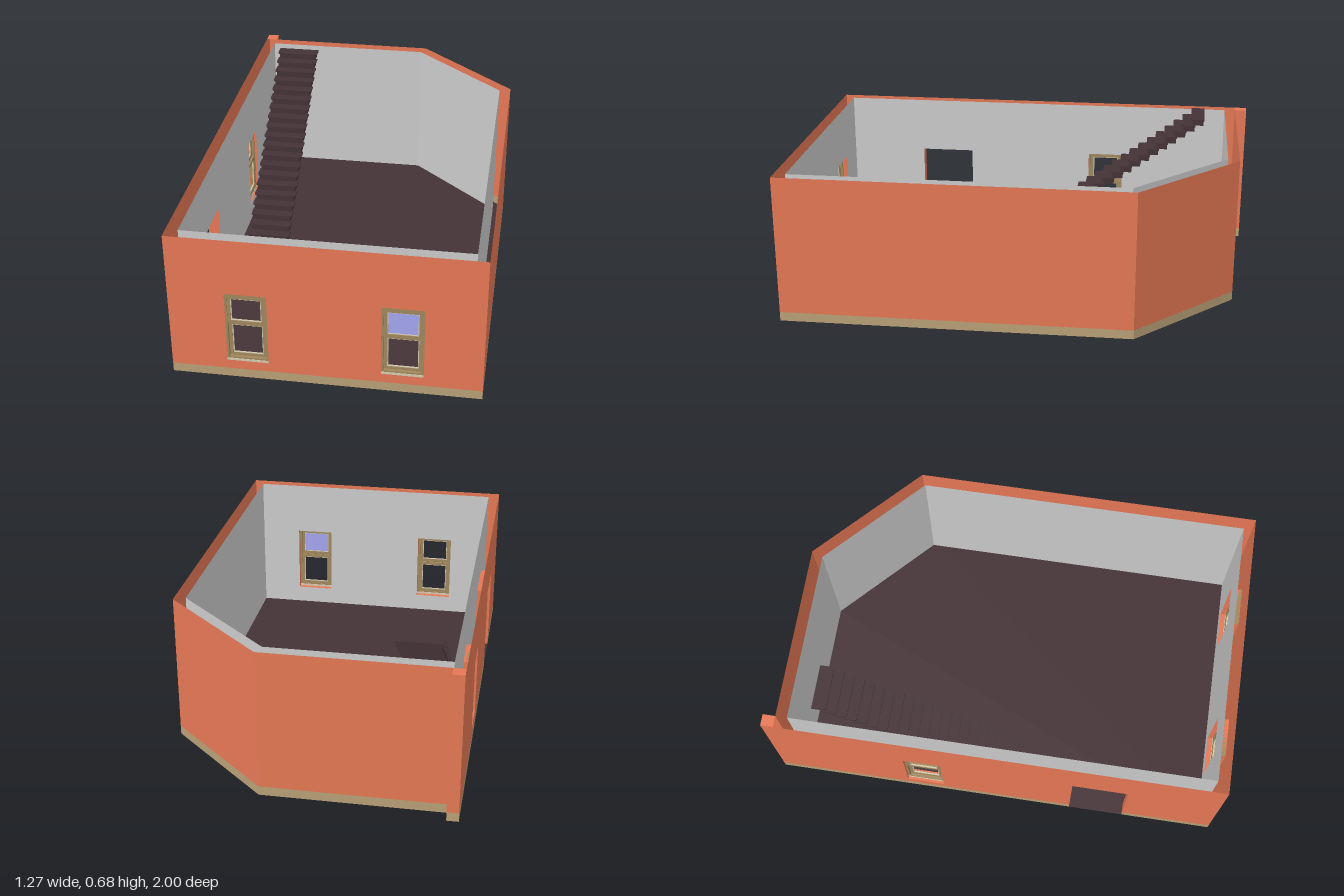
import * as THREE from 'three';

const material = (color, side = THREE.FrontSide) => new THREE.MeshStandardMaterial({ color, side });
const brick = material(0xe67855, THREE.DoubleSide);
const plinth = material(0xb9a076, THREE.DoubleSide);
const plaster = material(0xcccccc, THREE.DoubleSide);
const darkFloor = material(0x443236, THREE.DoubleSide);
const darkWood = material(0x443236);
const frameWood = material(0xa0885d);
const trim = material(0xd6cbb0);
const glass = material(0xa5a6f0, THREE.DoubleSide);

const HEIGHT = 0.655, BASE = 0.04, GAP = 0.05;

// Plan corners [x, z]; the outer loop includes the corner pier at the back
const OUTER = [[-0.64, 1], [0.635, 1], [0.635, -0.525], [0.185, -0.945],
  [-0.59, -0.945], [-0.59, -1], [-0.64, -1]];
const INNER = [[-0.59, 0.95], [-0.59, -0.895], [0.165, -0.895], [0.585, -0.503], [0.585, 0.95]];

// Openings: a..b runs along x on the front wall and along z on the left-hand wall
const OPENINGS = [
  { wall: 'front', a: -0.407, b: -0.236, y0: 0.082, y1: 0.405 },
  { wall: 'front', a: 0.224, b: 0.397, y0: 0.082, y1: 0.405, glazed: true },
  { wall: 'side', a: -0.405, b: -0.238, y0: 0.082, y1: 0.405, recess: 0.012 },
  { wall: 'side', a: 0.35, b: 0.597, y0: 0, y1: 0.4, door: true },
];

function add(parent, name, geometry, mat, x = 0, y = 0, z = 0) {
  const mesh = new THREE.Mesh(geometry, mat);
  mesh.name = name;
  mesh.position.set(x, y, z);
  parent.add(mesh);
  return mesh;
}

const box = (w, h, d) => new THREE.BoxGeometry(w, h, d);

function rectangle(target, x0, y0, x1, y1) {
  target.moveTo(x0, y0);
  target.lineTo(x1, y0);
  target.lineTo(x1, y1);
  target.lineTo(x0, y1);
  target.closePath();
  return target;
}

// Upright sheet from p to q, with windows as holes and doors as notches
function panel(parent, name, p, q, y0, y1, mat, openings = []) {
  const dx = q[0] - p[0], dz = q[1] - p[1], length = Math.hypot(dx, dz);
  const shape = new THREE.Shape();
  shape.moveTo(0, y0);
  for (const o of openings) {
    const start = o.wall === 'front' ? p[0] : p[1];
    const [u0, u1] = [Math.abs(o.a - start), Math.abs(o.b - start)].sort((m, n) => m - n);
    if (o.y0 > y0) {
      if (o.y0 < y1) shape.holes.push(rectangle(new THREE.Path(), u0, o.y0, u1, o.y1));
      continue;
    }
    const top = Math.min(o.y1, y1);
    shape.lineTo(u0, y0);
    shape.lineTo(u0, top);
    shape.lineTo(u1, top);
    shape.lineTo(u1, y0);
  }
  shape.lineTo(length, y0);
  shape.lineTo(length, y1);
  shape.lineTo(0, y1);
  const mesh = add(parent, name, new THREE.ShapeGeometry(shape), mat, p[0], 0, p[1]);
  mesh.rotation.y = Math.atan2(-dz, dx);
}

// Rectangular ring, centred on x, between two heights
function ring(w, y0, y1, border, depth) {
  const shape = rectangle(new THREE.Shape(), -w / 2, y0, w / 2, y1);
  shape.holes.push(rectangle(new THREE.Path(), -w / 2 + border, y0 + border, w / 2 - border, y1 - border));
  return new THREE.ExtrudeGeometry(shape, { depth, bevelEnabled: false });
}

// Brick lining of an opening; local z = 0 is the outer wall face
function buildReveal(parent, o, w) {
  const h = o.y1 - o.y0;
  for (const s of [-1, 1]) {
    const jamb = add(parent, 'jamb', new THREE.PlaneGeometry(GAP, h), brick, s * w / 2, o.y0 + h / 2, -GAP / 2);
    jamb.rotation.y = -s * Math.PI / 2;
  }
  for (const y of o.door ? [o.y1] : [o.y0, o.y1]) {
    const face = add(parent, 'openingLining', new THREE.PlaneGeometry(w, GAP), brick, 0, y, -GAP / 2);
    face.rotation.x = y === o.y1 ? Math.PI / 2 : -Math.PI / 2;
  }
}

// Double-hung window: casing, two offset sashes with light beading, and sill
function buildWindow(parent, o, w) {
  const win = new THREE.Group();
  win.name = 'window';
  win.position.z = -(o.recess || 0);
  parent.add(win);
  add(win, 'casing', ring(w, 0.09, 0.405, 0.009, 0.026), frameWood, 0, 0, -0.027);
  add(win, 'upperSash', ring(w - 0.018, 0.264, 0.396, 0.014, 0.01), frameWood, 0, 0, -0.014);
  add(win, 'lowerSash', ring(w - 0.018, 0.097, 0.264, 0.014, 0.01), frameWood, 0, 0, -0.025);
  add(win, 'upperBead', ring(w - 0.045, 0.277, 0.383, 0.004, 0.006), trim, 0, 0, -0.012);
  add(win, 'lowerBead', ring(w - 0.045, 0.11, 0.251, 0.004, 0.006), trim, 0, 0, -0.023);
  add(win, 'sill', box(w, 0.01, 0.03), trim, 0, 0.087, -0.014);
  if (o.glazed) add(win, 'pane', new THREE.PlaneGeometry(w - 0.046, 0.104), glass, 0, 0.33, -0.009);
}

// Straight flight, each step a block under a tread with rounded front corners
function buildStairs(parent) {
  const stairs = new THREE.Group();
  stairs.name = 'stairs';
  parent.add(stairs);
  const count = 22, rise = 0.675 / count, run = 0.875 / (count - 1);
  const half = 0.098, depth = 0.062, r = 0.014, thick = 0.007;
  const outline = new THREE.Shape();
  outline.moveTo(-half, 0);
  outline.lineTo(-half, -depth + r);
  outline.quadraticCurveTo(-half, -depth, -half + r, -depth);
  outline.lineTo(half - r, -depth);
  outline.quadraticCurveTo(half, -depth, half, -depth + r);
  outline.lineTo(half, 0);
  const tread = new THREE.ExtrudeGeometry(outline, { depth: thick, bevelEnabled: false, curveSegments: 4 });
  tread.rotateX(-Math.PI / 2);
  const block = box(0.182, rise - thick, 0.05);
  for (let i = 0; i < count; i++) {
    const top = 0.675 - i * rise, back = -0.797 + i * run;
    add(stairs, 'tread', tread, darkWood, -0.441, top - thick, back);
    add(stairs, 'stepBlock', block, darkWood, -0.441, top - (rise + thick) / 2, back + 0.029);
  }
}

// Flat horizontal sheet from plan corners
function sheet(parent, name, corners, y, mat) {
  const shape = new THREE.Shape(corners.map(([x, z]) => new THREE.Vector2(x, -z)));
  const mesh = add(parent, name, new THREE.ShapeGeometry(shape), mat, 0, y, 0);
  mesh.rotation.x = -Math.PI / 2;
}

export function createModel() {
  const model = new THREE.Group();
  model.name = 'brickRoom';
  const onWall = (wall) => OPENINGS.filter((o) => o.wall === wall);

  // Outer brick skin over a flush plinth band
  OUTER.forEach((p, i) => {
    const q = OUTER[(i + 1) % OUTER.length];
    const cuts = i === 0 ? onWall('front') : i === 6 ? onWall('side') : [];
    panel(model, 'outerWall', p, q, BASE, HEIGHT, brick, cuts);
    panel(model, 'plinth', p, q, 0, BASE, plinth, cuts);
  });

  // Inner plaster skin, open gap at the top
  INNER.forEach((p, i) => {
    const q = INNER[(i + 1) % INNER.length];
    const cuts = i === 4 ? onWall('front') : i === 0 ? onWall('side') : [];
    panel(model, 'innerWall', p, q, 0, HEIGHT, plaster, cuts);
  });

  // Floor and the cap on the corner pier
  sheet(model, 'floor', [...OUTER.slice(0, 4), [-0.64, -0.945]], 0, darkFloor);
  sheet(model, 'pierCap', [[-0.64, -0.945], [-0.59, -0.945], [-0.59, -1], [-0.64, -1]], HEIGHT, brick);

  // Linings and windows
  for (const o of OPENINGS) {
    const group = new THREE.Group(), mid = (o.a + o.b) / 2, w = o.b - o.a;
    group.name = o.door ? 'doorway' : 'windowOpening';
    if (o.wall === 'front') group.position.set(mid, 0, 1);
    else {
      group.position.set(-0.64, 0, mid);
      group.rotation.y = -Math.PI / 2;
    }
    model.add(group);
    buildReveal(group, o, w);
    if (!o.door) buildWindow(group, o, w);
  }

  buildStairs(model);
  return model;
}
